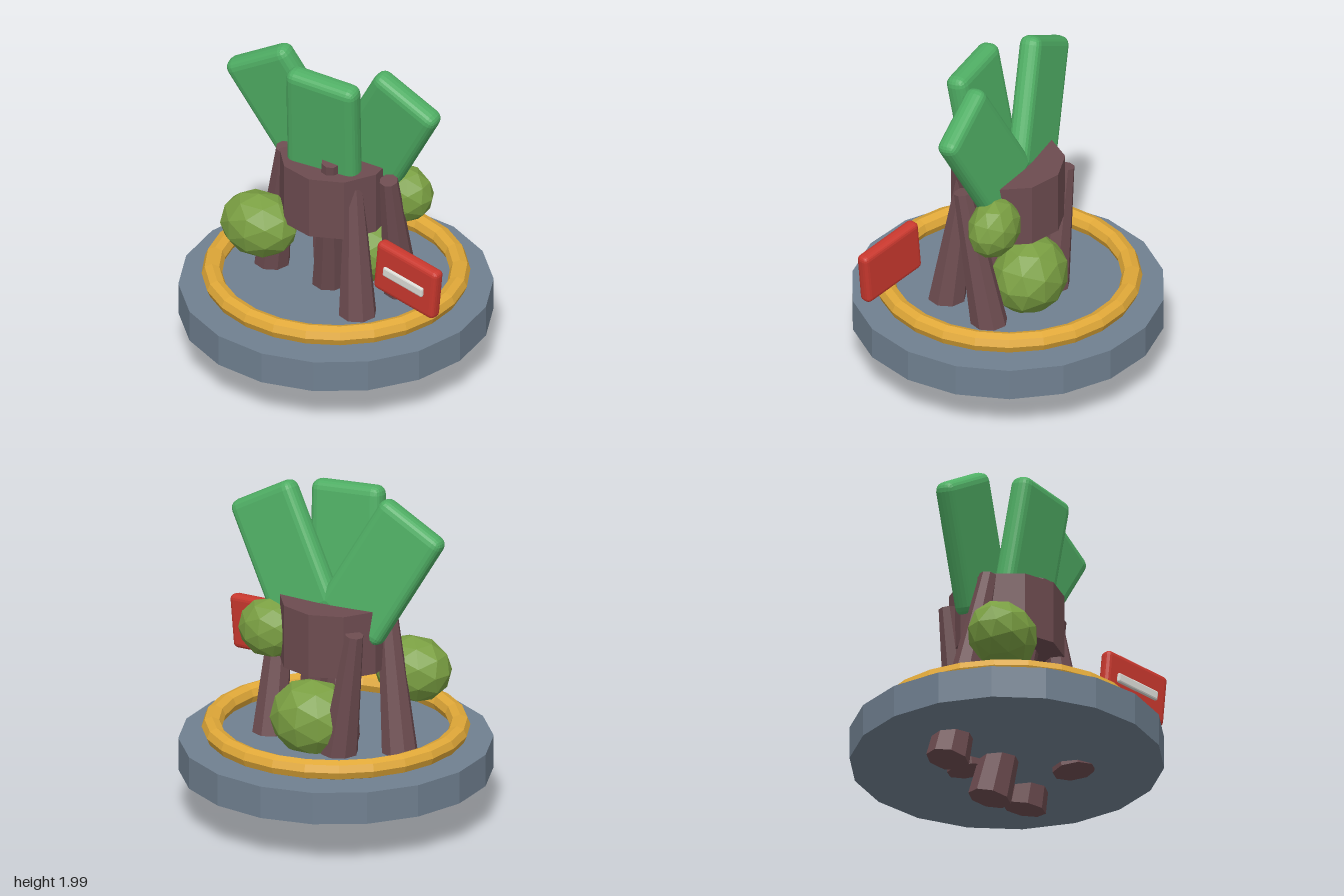
import * as THREE from 'three';
import { RoundedBoxGeometry } from 'three/addons/geometries/RoundedBoxGeometry.js';

const mat = (color) => new THREE.MeshStandardMaterial({ color, flatShading: true });
const slate = mat(0x708090), gold = mat(0xe0a838), bark = mat(0x6d4c50), leafGreen = mat(0x4fae64);
const moss = mat(0x7a9f42), red = mat(0xc9382e), white = mat(0xdcdcd6);

function add(parent, name, geometry, material, x, y, z) {
  const mesh = new THREE.Mesh(geometry, material);
  mesh.name = name;
  mesh.position.set(x, y, z);
  parent.add(mesh);
  return mesh;
}

// Tapered, leaning root running between two points
function addRoot(parent, bottom, top) {
  const a = new THREE.Vector3(...bottom), b = new THREE.Vector3(...top);
  const dir = b.clone().sub(a);
  const mid = a.clone().add(b).multiplyScalar(0.5);
  const root = add(parent, 'root', new THREE.CylinderGeometry(0.055, 0.128, dir.length(), 8), bark, mid.x, mid.y, mid.z);
  root.quaternion.setFromUnitVectors(new THREE.Vector3(0, 1, 0), dir.normalize());
}

export function createModel() {
  const group = new THREE.Group();
  const cx = -0.018;

  // Base disc and ring
  add(group, 'baseDisc', new THREE.CylinderGeometry(0.915, 0.915, 0.195, 18), slate, cx, 0.363, 0);
  const ring = add(group, 'ring', new THREE.TorusGeometry(0.72, 0.06, 8, 24), gold, cx, 0.532, 0);
  ring.rotation.x = Math.PI / 2;

  // Trunk block
  add(group, 'trunk', new THREE.CylinderGeometry(0.334, 0.334, 0.385, 10), bark, cx, 1.138, 0);

  // Roots passing through the disc
  [
    [[-0.51, 0.12, -0.07], [-0.31, 1.33, 0.08]],
    [[-0.1, 0.025, -0.065], [0.055, 1.4, 0.2]],
    [[0.365, 0.155, -0.15], [0.372, 1.3, 0.08]],
    [[0.275, 0.25, 0.27], [0.19, 1.25, 0.17]],
    [[-0.12, 0.23, -0.2], [-0.27, 1.22, -0.24]],
  ].forEach(([bottom, top]) => addRoot(group, bottom, top));

  // Leaf slabs: leaned forward, then fanned sideways
  [
    [-0.335, 1.55, -0.02, 0.51],
    [0.3, 1.55, -0.02, -0.51],
    [-0.008, 1.575, 0.165, -0.065],
  ].forEach(([x, y, z, roll]) => {
    const leaf = add(group, 'leaf', new RoundedBoxGeometry(0.46, 0.79, 0.135, 2, 0.055), leafGreen, x, y, z);
    leaf.rotation.set(0.148, 0, roll, 'ZXY');
  });

  // Moss clumps
  [
    [-0.395, 0.875, 0.24, 0.24, 0.2, 0.19],
    [0.355, 1.11, -0.12, 0.195, 0.18, 0.145],
    [0.04, 0.63, -0.18, 0.26, 0.235, 0.215],
  ].forEach(([x, y, z, sx, sy, sz]) => {
    add(group, 'mossClump', new THREE.IcosahedronGeometry(1, 1), moss, x, y, z).scale.set(sx, sy, sz);
  });

  // Hanging tag with a raised strip
  const tag = new THREE.Group();
  tag.name = 'tag';
  tag.position.set(0.673, 0.89, 0.4);
  tag.rotation.set(0, -0.23, -0.1);
  add(tag, 'tagPlate', new RoundedBoxGeometry(0.465, 0.325, 0.08, 2, 0.03), red, 0, 0, 0);
  add(tag, 'tagStrip', new RoundedBoxGeometry(0.305, 0.06, 0.03, 1, 0.01), white, 0, 0, 0.042);
  group.add(tag);

  return group;
}
